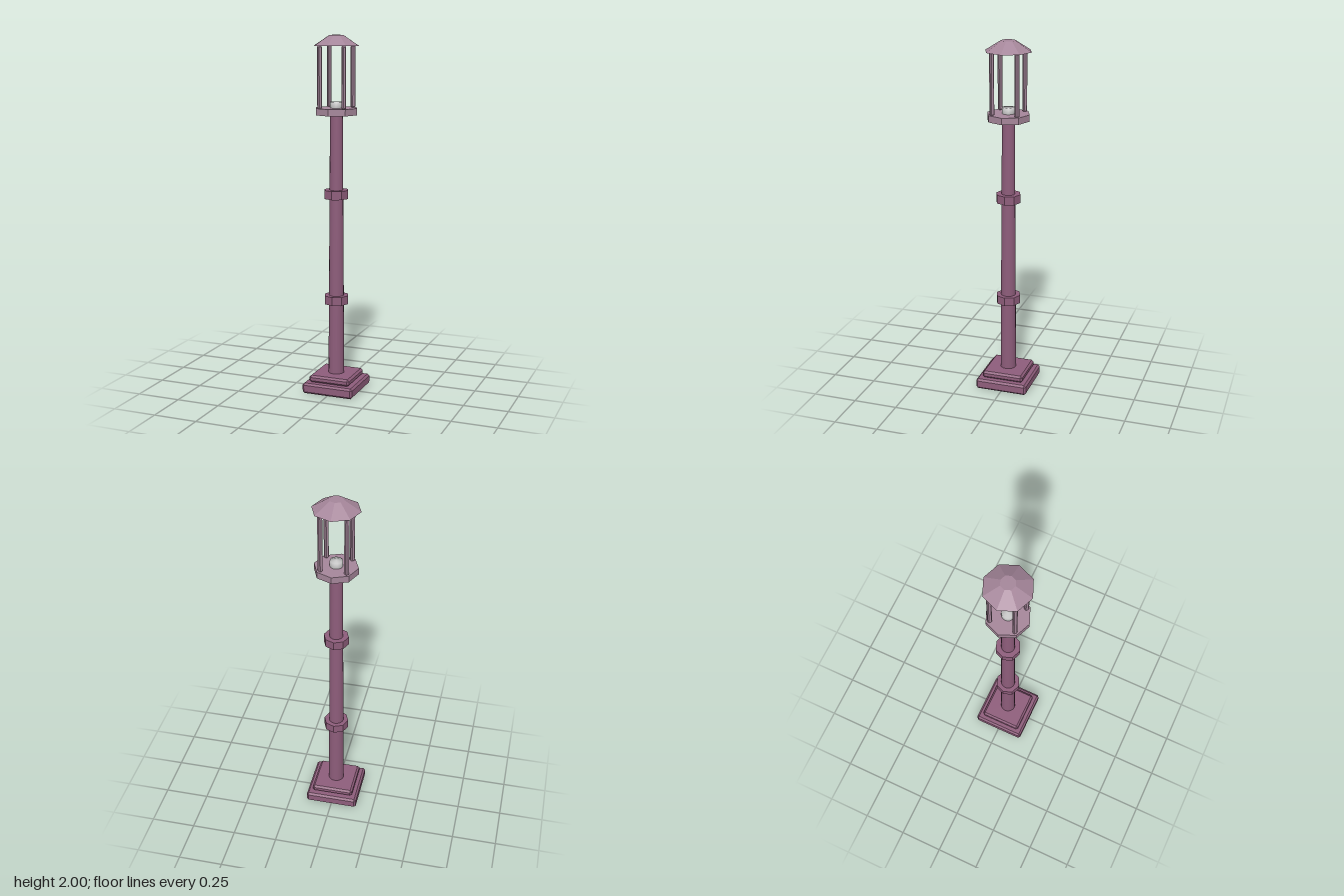
import * as THREE from 'three';
import { mergeVertices } from 'three/addons/utils/BufferGeometryUtils.js';
import { ConvexGeometry } from 'three/addons/geometries/ConvexGeometry.js';

const paint = new THREE.MeshStandardMaterial({ color: 0x8e5d7b });
const lanternPaint = new THREE.MeshStandardMaterial({ color: 0xa5869a });
const grey = new THREE.MeshStandardMaterial({ color: 0xcccccc });

// Box with every edge cut at 45 degrees, standing between y0 and y1
function chamferBox(half, y0, y1, bevel) {
  const points = [];
  const halfHeight = (y1 - y0) / 2;
  for (const sx of [-1, 1]) for (const sy of [-1, 1]) for (const sz of [-1, 1]) {
    for (let axis = 0; axis < 3; axis++) {
      const inset = [0, 1, 2].map((i) => (i === axis ? 0 : bevel));
      points.push(new THREE.Vector3(
        sx * (half - inset[0]), sy * (halfHeight - inset[1]), sz * (half - inset[2])));
    }
  }
  return new ConvexGeometry(points).translate(0, (y0 + y1) / 2, 0);
}

// Upright cylinder or frustum between y0 and y1
function drum(rTop, rBottom, y0, y1, sides) {
  return new THREE.CylinderGeometry(rTop, rBottom, y1 - y0, sides).translate(0, (y0 + y1) / 2, 0);
}

// Eight-sided drum with hard facets
function octagon(rTop, rBottom, y0, y1) {
  const g = drum(rTop, rBottom, y0, y1, 8).toNonIndexed();
  g.computeVertexNormals();
  return g;
}

// Drum whose normals run smoothly over the rims
function softDrum(rTop, rBottom, y0, y1, sides) {
  const g = drum(rTop, rBottom, y0, y1, sides);
  g.deleteAttribute('normal');
  g.deleteAttribute('uv');
  const merged = mergeVertices(g);
  merged.computeVertexNormals();
  return merged;
}

export function createModel() {
  const model = new THREE.Group();
  model.name = 'streetLamp';
  const add = (name, geometry, material, parent = model) => {
    const mesh = new THREE.Mesh(geometry, material);
    mesh.name = name;
    parent.add(mesh);
    return mesh;
  };

  // Stepped base
  add('baseLower', chamferBox(0.15, 0, 0.06, 0.011), paint);
  add('baseUpper', chamferBox(0.12, 0.06, 0.1, 0.011), paint);

  // Tapered pole with two collars
  add('pole', softDrum(0.035, 0.045, 0.08, 1.58, 16), paint);
  for (const y of [0.53, 1.13]) add('collar', octagon(0.07, 0.07, y - 0.024, y + 0.024), paint);

  // Lantern: platform, lamp, corner posts and roof
  const lantern = new THREE.Group();
  lantern.name = 'lantern';
  model.add(lantern);
  add('platform', octagon(0.12, 0.12, 1.57, 1.607), lanternPaint, lantern);
  add('lamp', softDrum(0.035, 0.035, 1.59, 1.64, 16), grey, lantern);
  const postGeometry = chamferBox(0.0125, 1.602, 1.946, 0.009);
  for (const x of [-0.07, 0.07]) for (const z of [-0.07, 0.07]) {
    add('post', postGeometry, lanternPaint, lantern).position.set(x, 0, z);
  }
  add('roof', octagon(0.04, 0.13, 1.943, 2), lanternPaint, lantern);

  return model;
}
